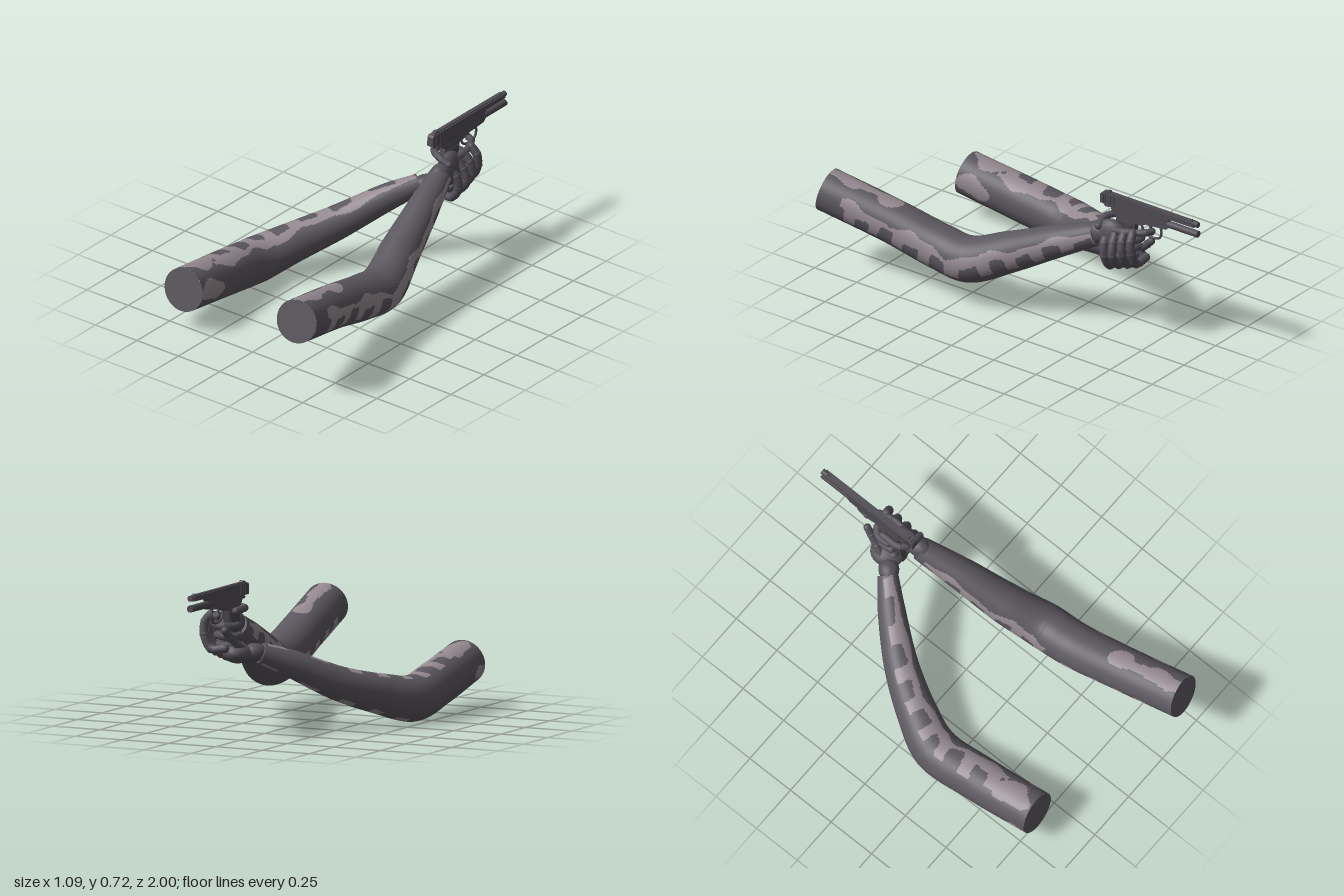
import * as THREE from 'three';

const V = (p) => new THREE.Vector3(p[0], p[1], p[2]);
const mat = (name, color) => {
  const m = new THREE.MeshStandardMaterial({ color });
  m.name = name;
  return m;
};

export function createModel() {
  const root = new THREE.Group();
  const cloth = mat('dark sleeve', 0x5b575e);
  const patch = mat('light sleeve patch', 0x94898f);
  const glove = mat('glove', 0x545159);
  const metal = mat('gun metal', 0x504c53);
  const grips = mat('grip panel', 0x48454b);

  const add = (parent, name, geo, m, pos = [0, 0, 0]) => {
    const mesh = new THREE.Mesh(geo, m);
    mesh.name = name;
    mesh.position.set(...pos);
    parent.add(mesh);
    return mesh;
  };
  const group = (name) => {
    const g = new THREE.Group();
    g.name = name;
    root.add(g);
    return g;
  };

  // Signed angle and rounded notch wave shared by the blotches
  const wrap = (a) => Math.atan2(Math.sin(a), Math.cos(a));
  // Band: wavy far edge, rounded dark tabs cutting in from the near edge (flip swaps the edges)
  const band = (centre, from, to, width, flip = 1) => (theta, z, s) => {
    if (s < from || s > to) return false;
    const d = (flip * wrap(theta - centre)) / width;
    const hi = 0.85 + 0.25 * Math.sin(z * 17) + 0.12 * Math.sin(z * 41);
    const tab = Math.sin((z * Math.PI * 2) / 0.14 + 0.5 * Math.sin(z * 9) + 0.3 * d);
    const reach = 0.15 + 0.2 * Math.sin(z * 23);
    const inTab = tab > -0.25 + 0.9 * Math.max(0, d - reach + 0.35);
    return d < hi && d > -1.1 + 0.15 * Math.sin(z * 13) && !(inTab && d < reach);
  };
  // Spot: oval patch with an uneven rim
  const spot = (centre, at, wide, long) => (theta, z, s) => {
    const d = wrap(theta - centre) / wide, e = (s - at) / long;
    return d * d + e * e < 1 + 0.35 * Math.sin(z * 35 + theta * 3);
  };

  // Sleeve swept through stations of [x, y, z, radius], shoulder to wrist
  const sleeve = (parent, stations, blotches) => {
    const N = 220, M = 90;
    const curve = new THREE.CatmullRomCurve3(stations.map(V));
    const pos = [], dark = [], light = [], zs = [];
    const up = new THREE.Vector3(0, 1, 0);
    const last = stations.length - 1;
    for (let i = 0; i <= N; i++) {
      const f = (i / N) * last, k = Math.min(Math.floor(f), last - 1);
      const r = THREE.MathUtils.lerp(stations[k][3], stations[k + 1][3], f - k);
      const c = curve.getPoint(i / N), t = curve.getTangent(i / N);
      const u = t.clone().cross(up).normalize(), v = u.clone().cross(t);
      zs.push(c.z);
      for (let j = 0; j < M; j++) {
        const a = (j / M) * Math.PI * 2;
        const p = c.clone().addScaledVector(u, r * Math.cos(a)).addScaledVector(v, r * Math.sin(a));
        pos.push(p.x, p.y, p.z);
      }
    }
    const span = zs[0] - zs[N];
    for (let i = 0; i < N; i++) for (let j = 0; j < M; j++) {
      const a = i * M + j, b = i * M + ((j + 1) % M), c = a + M, d = b + M;
      const th = ((j + 0.5) / M) * Math.PI * 2, s = (zs[0] - zs[i]) / span;
      (blotches.some((f) => f(th, zs[i], s)) ? light : dark).push(a, c, b, b, c, d);
    }
    const geo = new THREE.BufferGeometry();
    geo.setAttribute('position', new THREE.Float32BufferAttribute(pos, 3));
    geo.setIndex([...dark, ...light]);
    geo.addGroup(0, dark.length, 0);
    geo.addGroup(dark.length, light.length, 1);
    geo.computeVertexNormals();
    add(parent, 'sleeve', geo, [cloth, patch]);
    // Flat discs closing both ends
    for (const [name, i, sgn] of [['shoulderCap', 0, -1], ['cuffCap', 1, 1]]) {
      const p = curve.getPoint(i);
      const cap = add(parent, name, new THREE.CircleGeometry(stations[i * last][3], 40), cloth, p.toArray());
      cap.lookAt(p.clone().addScaledVector(curve.getTangent(i), sgn));
    }
  };

  const PI = Math.PI;
  const leftArm = group('leftArm');
  sleeve(leftArm, [
    [0.44, 0.405, 0.97, 0.107], [0.385, 0.32, 0.62, 0.107], [0.353, 0.25, 0.36, 0.111],
    [0.343, 0.232, 0.2, 0.113], [0.29, 0.31, 0, 0.1], [0.24, 0.415, -0.23, 0.08], [0.19, 0.503, -0.44, 0.058],
  ], [
    band(-0.03, 0.08, 1, 0.55), band(PI - 0.1, 0.48, 0.97, 0.5, -1), band(PI + 0.35, 0.05, 0.45, 0.3),
    spot(PI / 2, 0.21, 0.45, 0.05), spot(PI / 2, 0.15, 0.24, 0.06), spot(PI / 2, 0.06, 0.42, 0.065),
  ]);
  const rightArm = group('rightArm');
  sleeve(rightArm, [
    [-0.4, 0.21, 0.77, 0.108], [-0.425, 0.15, 0.43, 0.111], [-0.43, 0.113, 0.17, 0.112],
    [-0.36, 0.15, 0, 0.098], [-0.24, 0.218, -0.2, 0.083], [-0.085, 0.326, -0.39, 0.066], [0.02, 0.385, -0.5, 0.05],
  ], [
    band(PI / 2 - 0.15, 0.14, 1, 0.6, -1), band(-PI / 2, 0.5, 1, 0.55), spot(PI / 2 + 0.1, 0.09, 0.6, 0.08),
    spot(0.05, 0.07, 0.5, 0.065), spot(PI + 0.3, 0.03, 0.35, 0.05),
  ]);

  // Finger: bent tube with rounded tip, base and knuckles
  const finger = (parent, name, pts, r) => {
    const g = new THREE.Group();
    g.name = name;
    parent.add(g);
    add(g, 'segments', new THREE.TubeGeometry(new THREE.CatmullRomCurve3(pts.map(V)), 18, r, 10), glove);
    pts.forEach((p, i) => {
      const end = i === 0 || i === pts.length - 1;
      add(g, 'joint', new THREE.SphereGeometry(r * (end ? 1 : 1.08), 10, 8), glove, p);
    });
  };
  const blob = (parent, name, pos, size, rot = [0, 0, 0]) => {
    const m = add(parent, name, new THREE.SphereGeometry(1, 20, 14), glove, pos);
    m.scale.set(...size);
    m.rotation.set(...rot);
  };

  // Left hand: holds the grip, index finger at the trigger
  const leftHand = group('leftHand');
  blob(leftHand, 'wrist', [0.19, 0.515, -0.45], [0.05, 0.055, 0.07]);
  blob(leftHand, 'palm', [0.185, 0.515, -0.52], [0.045, 0.085, 0.085], [0.2, 0.15, 0]);
  finger(leftHand, 'thumb', [[0.22, 0.565, -0.47], [0.165, 0.59, -0.465], [0.108, 0.595, -0.5], [0.102, 0.592, -0.6]], 0.018);
  finger(leftHand, 'indexFinger', [[0.2, 0.56, -0.55], [0.2, 0.572, -0.63], [0.165, 0.58, -0.71], [0.135, 0.58, -0.725]], 0.017);
  for (let i = 0; i < 3; i++) {
    const y = 0.525 - i * 0.05, z = i * 0.018;
    finger(leftHand, 'gripFinger', [[0.2, y, -0.55 + z], [0.19, y, -0.635 + z], [0.135, y, -0.66 + z],
      [0.104, y - 0.004, -0.625 + z], [0.107, y - 0.006, -0.57 + z]], 0.019);
  }

  // Right hand: cups the grip from below, fingers wrapped up the +x side
  const rightHand = group('rightHand');
  blob(rightHand, 'wrist', [0.045, 0.388, -0.515], [0.06, 0.045, 0.05], [0, 0.8, 0]);
  blob(rightHand, 'palm', [0.11, 0.39, -0.575], [0.075, 0.05, 0.085], [0, 0.4, 0.1]);
  for (let i = 0; i < 4; i++) {
    const z = -0.52 - i * 0.052, y = 0.355 + i * 0.018, out = 0.247 - Math.abs(i - 1) * 0.008;
    finger(rightHand, 'wrapFinger', [[0.12, y + 0.012, z], [0.195, y + 0.008, z], [out, y + 0.075, z],
      [0.23, y + 0.135, z + 0.008], [0.203, y + 0.17, z + 0.015]], 0.021);
  }
  finger(rightHand, 'thumb', [[0.065, 0.4, -0.57], [0.085, 0.44, -0.625], [0.1, 0.48, -0.67], [0.108, 0.51, -0.7]], 0.019);

  // Pistol: side profiles of [-z, y] extruded across x
  const gun = group('pistol');
  const X = 0.137;
  const plate = (name, pts, w, m) => {
    const shape = new THREE.Shape(pts.map((p) => new THREE.Vector2(p[0], p[1])));
    const geo = new THREE.ExtrudeGeometry(shape, { depth: w, bevelEnabled: false });
    geo.rotateY(Math.PI / 2);
    add(gun, name, geo, m, [X - w / 2, 0, 0]);
  };
  const rod = (name, r, z0, z1, y) => {
    const geo = new THREE.CylinderGeometry(r, r, z0 - z1, 14);
    geo.rotateX(Math.PI / 2);
    add(gun, name, geo, metal, [X, y, (z0 + z1) / 2]);
  };
  plate('slide', [[0.43, 0.652], [0.82, 0.652], [0.84, 0.684], [0.985, 0.686], [0.985, 0.708], [0.44, 0.708], [0.432, 0.7]], 0.034, metal);
  plate('slideTop', [[0.445, 0.706], [0.97, 0.706], [0.97, 0.713], [0.45, 0.714]], 0.02, metal);
  plate('frame', [[0.49, 0.655], [0.5, 0.625], [0.53, 0.6], [0.67, 0.6], [0.7, 0.615], [0.82, 0.625], [0.85, 0.655]], 0.032, metal);
  plate('grip', [[0.53, 0.62], [0.64, 0.62], [0.6, 0.38], [0.49, 0.375]], 0.034, metal);
  plate('gripPanel', [[0.54, 0.59], [0.625, 0.59], [0.59, 0.395], [0.505, 0.395]], 0.042, grips);
  rod('barrel', 0.014, -0.8, -1, 0.699);
  rod('guideRod', 0.017, -0.78, -1, 0.65);
  plate('rearSight', [[0.46, 0.71], [0.485, 0.71], [0.48, 0.72], [0.465, 0.72]], 0.02, metal);
  plate('frontSight', [[0.94, 0.708], [0.97, 0.708], [0.965, 0.72]], 0.008, metal);
  plate('hammer', [[0.47, 0.66], [0.445, 0.64], [0.455, 0.632], [0.5, 0.64]], 0.012, metal);
  plate('trigger', [[0.705, 0.615], [0.72, 0.615], [0.735, 0.565], [0.728, 0.562]], 0.01, metal);
  // Serrations on both sides of the slide
  for (let i = 0; i < 6; i++) {
    add(gun, 'serration', new THREE.BoxGeometry(0.038, 0.045, 0.006), grips, [X, 0.68, -0.45 - i * 0.013]);
  }
  const guard = new THREE.CatmullRomCurve3([[X, 0.61, -0.66], [X, 0.565, -0.68], [X, 0.55, -0.725],
    [X, 0.56, -0.77], [X, 0.59, -0.782], [X, 0.625, -0.775]].map(V));
  add(gun, 'triggerGuard', new THREE.TubeGeometry(guard, 24, 0.006, 8), metal);

  return root;
}
